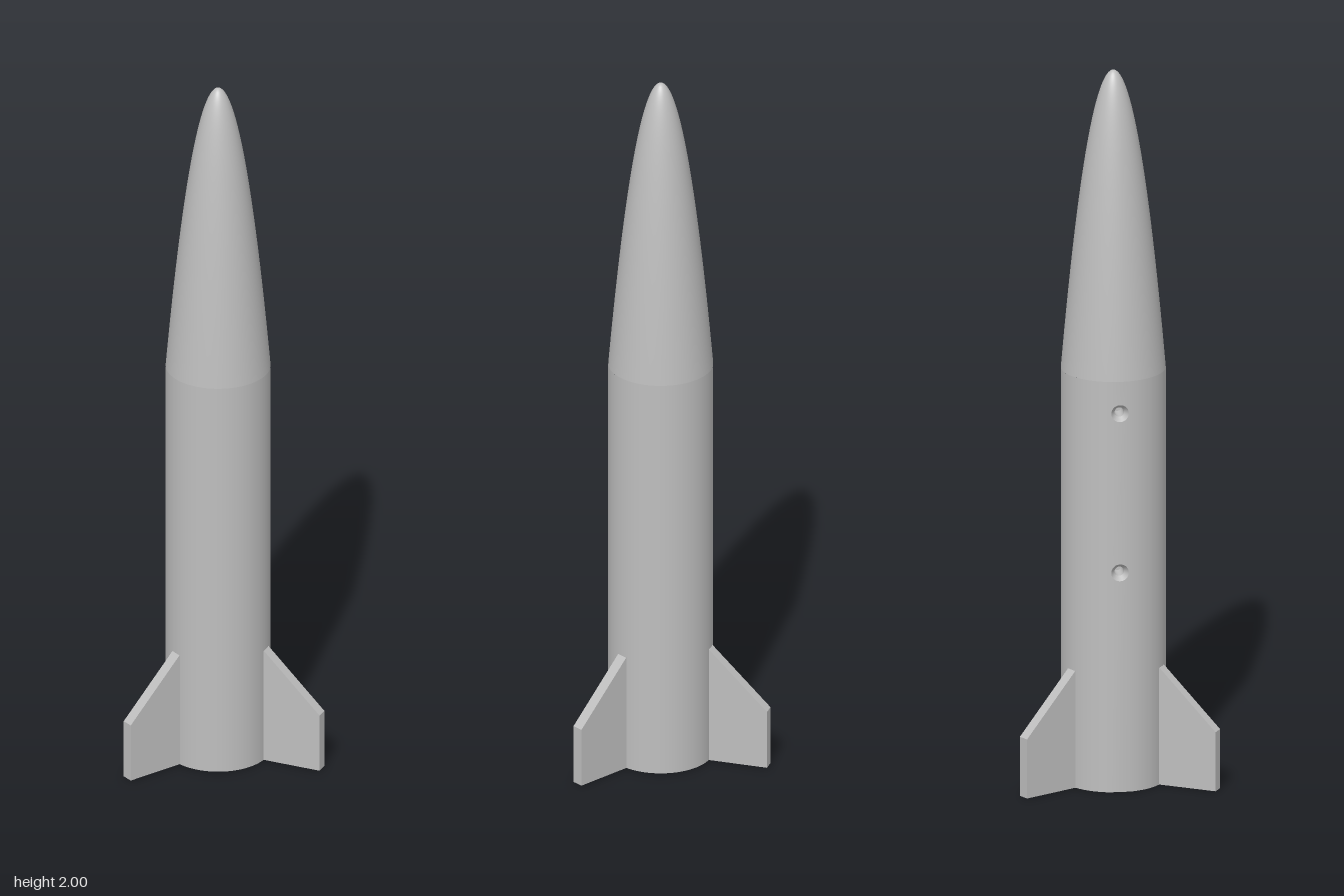
import * as THREE from 'three';

const R = 0.142;        // body radius
const BORE = 0.075;     // motor bore radius
const SHOULDER = 1.16;  // where the nose begins
const HALF = 0.028;     // half width of the drilled strip
const HOLE = 0.024;     // countersink radius
const HOLE_Y = [0.62, 1.07];

const v = (x, y) => new THREE.Vector2(x, y);

export function createModel() {
  const grey = new THREE.MeshStandardMaterial({ color: 0xbebebe });
  grey.name = 'light grey';
  const model = new THREE.Group();
  model.name = 'rocket';
  const rocket = new THREE.Group();
  rocket.name = 'rocketBody';
  rocket.position.x = -0.07;
  model.add(rocket);

  const add = (name, geometry, parent = rocket) => {
    const mesh = new THREE.Mesh(geometry, grey);
    mesh.name = name;
    parent.add(mesh);
    return mesh;
  };

  // Parabolic nose
  const nose = [];
  for (let i = 0; i <= 32; i++) {
    const t = 1 - i / 32;
    nose.push(v(R * t, 2 - (2 - SHOULDER) * t * t));
  }
  add('noseCone', new THREE.LatheGeometry(nose, 72));

  // Body tube, leaving a narrow strip on the -x side for the screw holes
  const a = HALF / R, side = Math.PI * 1.5;
  add('bodyTube', new THREE.LatheGeometry([v(R, 0), v(R, SHOULDER)], 72, side + a, 2 * Math.PI - 2 * a));

  // Drilled strip: a flat shape with holes, wrapped onto the tube
  const strip = new THREE.Shape([v(-HALF, 0), v(HALF, 0), v(HALF, SHOULDER), v(-HALF, SHOULDER)]);
  for (const y of HOLE_Y) strip.holes.push(new THREE.Path().absarc(0, y, HOLE, 0, Math.PI * 2, true));
  const wrapped = new THREE.ShapeGeometry(strip, 24);
  const pos = wrapped.attributes.position, nor = wrapped.attributes.normal;
  for (let i = 0; i < pos.count; i++) {
    const phi = side + pos.getX(i) / R;
    pos.setXYZ(i, R * Math.sin(phi), pos.getY(i), R * Math.cos(phi));
    nor.setXYZ(i, Math.sin(phi), 0, Math.cos(phi));
  }
  add('drilledStrip', wrapped);

  // Countersunk screw holes
  for (const y of HOLE_Y) {
    const hole = new THREE.Group();
    hole.name = 'screwHole';
    hole.position.y = y;
    hole.rotation.z = Math.PI / 2;
    rocket.add(hole);
    add('countersink', new THREE.LatheGeometry([v(HOLE, 0.141), v(0.013, 0.125)], 24), hole);
    add('screwShaft', new THREE.LatheGeometry([v(0.013, 0.125), v(0.013, BORE - 0.002)], 24), hole);
  }

  // Open tail with the motor bore
  add('tailRing', new THREE.LatheGeometry([v(BORE, 0), v(R, 0)], 72));
  add('motorBore', new THREE.LatheGeometry([v(BORE, SHOULDER), v(BORE, 0)], 48));
  add('boreEnd', new THREE.CircleGeometry(BORE, 48).rotateX(Math.PI / 2).translate(0, SHOULDER, 0));

  // Three clipped fins
  const outline = new THREE.Shape([v(0.12, 0), v(0.306, 0), v(0.306, 0.167), v(R, 0.33), v(0.12, 0.33)]);
  const fin = new THREE.ExtrudeGeometry(outline, { depth: 0.032, bevelEnabled: false }).translate(0, 0, -0.016);
  for (let i = 0; i < 3; i++) add('fin', fin).rotation.y = (i * 2 * Math.PI) / 3;

  return model;
}
